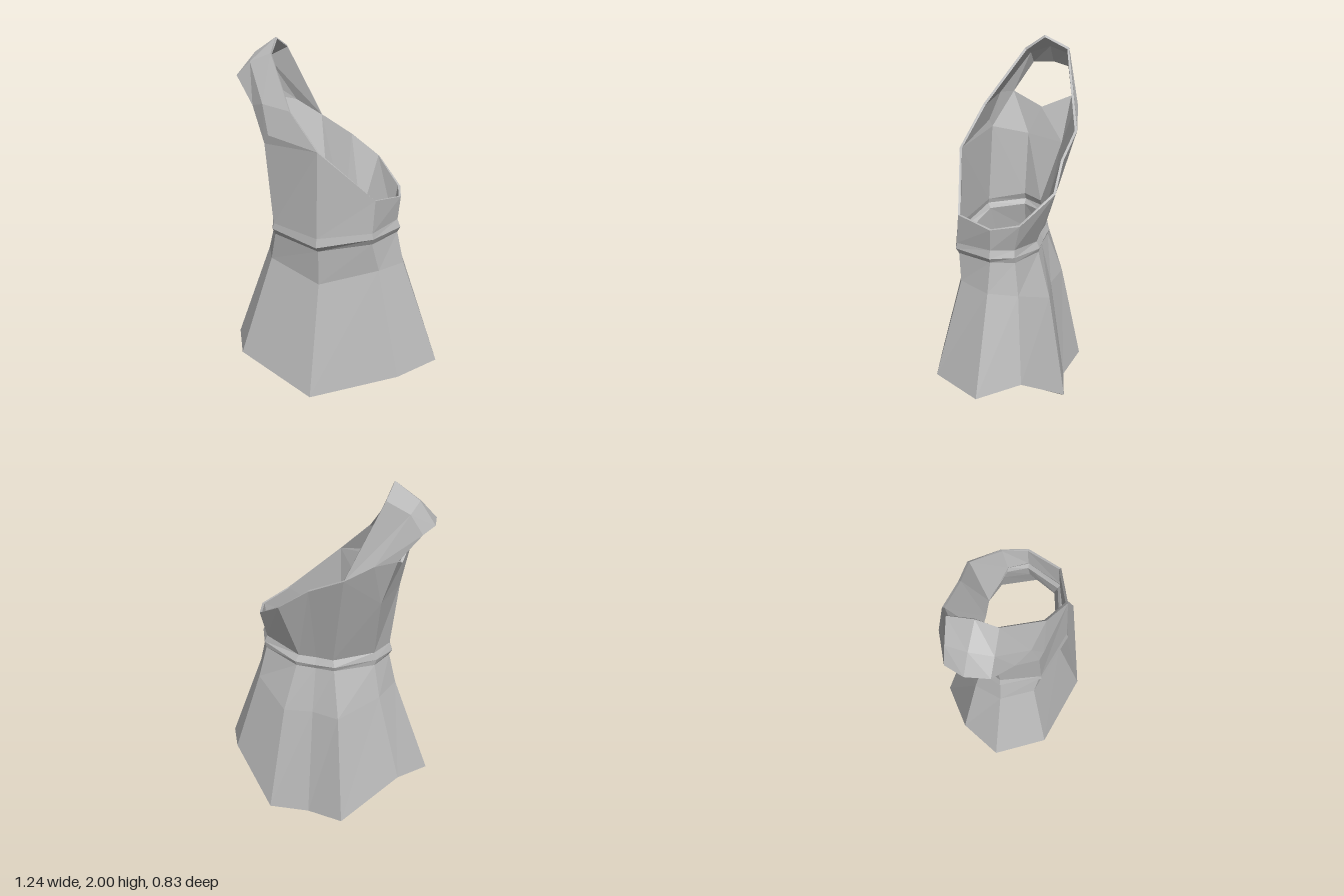
import * as THREE from 'three';

const THICKNESS = 0.014;

export function createModel() {
  const group = new THREE.Group();
  const cloth = new THREE.MeshStandardMaterial({ color: 0xb8b8b8, flatShading: true, side: THREE.DoubleSide });
  cloth.name = 'grey cloth';

  const points = [];
  const add = (x, y, z) => points.push(new THREE.Vector3(x, y, z)) - 1;
  const addAll = (list) => list.map((p) => add(...p));
  // half ring from centre front round the left side to centre back, mirrored to ten points
  const ring = (half) => addAll([...half, ...half.slice(1, 5).reverse().map(([x, y, z]) => [-x, y, z])]);

  // cross-sections, bottom to top
  const hem = ring([[0, 0.07, 0.412], [0.47, 0.215, 0.282], [0.618, 0.213, 0], [0.5, 0.273, -0.228], [0.22, 0.025, -0.417], [0, 0.003, -0.365]]);
  const hip = ring([[0, 0.69, 0.26], [0.32, 0.78, 0.17], [0.41, 0.78, -0.01], [0.36, 0.76, -0.17], [0.16, 0.65, -0.3], [0, 0.65, -0.27]]);
  const waist = ring([[0, 0.885, 0.265], [0.285, 0.935, 0.19], [0.37, 0.955, -0.015], [0.32, 0.945, -0.14], [0.11, 0.91, -0.218], [0, 0.905, -0.21]]);
  const lip = ring([[0, 0.915, 0.3], [0.295, 0.967, 0.205], [0.387, 0.985, -0.015], [0.33, 0.98, -0.14], [0.115, 0.935, -0.225], [0, 0.93, -0.22]]);
  const bodiceLow = ring([[0, 0.965, 0.29], [0.29, 1.0, 0.2], [0.37, 1.03, -0.015], [0.315, 1.02, -0.135], [0.1, 0.97, -0.205], [0, 0.97, -0.2]]);
  const bodiceTop = addAll([
    [0, 1.44, 0.27], [0.3, 1.18, 0.185], [0.385, 1.16, -0.02], [0.34, 1.18, -0.17], [0.17, 1.31, -0.32],
    [0, 1.43, -0.32], [-0.2, 1.53, -0.35], [-0.37, 1.38, -0.24], [-0.415, 1.4, -0.02], [-0.34, 1.45, 0.19],
  ]);

  // shoulder strap rows, front to back, each from armhole edge to neck edge
  const strapRows = [
    [[-0.452, 1.64, 0.09], [-0.365, 1.66, 0.15], [-0.19, 1.635, 0.19]],
    [[-0.585, 1.79, 0.005], [-0.5, 1.87, 0.005], [-0.375, 1.92, 0]],
    [[-0.605, 1.795, -0.12], [-0.52, 1.913, -0.115], [-0.388, 2, -0.11]],
    [[-0.565, 1.78, -0.225], [-0.5, 1.88, -0.232], [-0.38, 1.943, -0.25]],
    [[-0.455, 1.64, -0.27], [-0.35, 1.62, -0.32]],
  ].map(addAll);
  strapRows[4].push(bodiceTop[6]);
  const fold = add(-0.31, 1.5, 0.205);
  const armhole = add(-0.44, 1.56, -0.09);

  const quad = (a, b, c, d) => [[a, b, c], [a, c, d]];
  const band = (lower, upper) => lower.flatMap((a, i) => {
    const j = (i + 1) % lower.length;
    return quad(a, lower[j], upper[j], upper[i]);
  });
  const [frontArm, frontMid, frontNeck] = strapRows[0];
  const [backArm, backMid, backNeck] = strapRows[4];
  const front = bodiceTop[0], backSide = bodiceTop[7], side = bodiceTop[8], frontSide = bodiceTop[9];

  const parts = {
    skirt: [...band(hem, hip), ...band(hip, waist)],
    waistUndercut: band(waist, lip),
    bodice: [...band(lip, bodiceLow), ...band(bodiceLow, bodiceTop)],
    chestAndArmhole: [
      [frontSide, front, fold], [fold, front, frontNeck], [fold, frontNeck, frontMid],
      [frontSide, fold, frontMid], [frontSide, frontMid, frontArm],
      ...quad(side, frontSide, frontArm, armhole),
      ...quad(backSide, side, armhole, backArm),
      [backNeck, backSide, backMid], [backMid, backSide, backArm],
    ],
    shoulderStrap: strapRows.slice(0, -1).flatMap((row, r) => {
      const next = strapRows[r + 1];
      return [0, 1].flatMap((i) => quad(row[i], row[i + 1], next[i + 1], next[i]));
    }),
  };

  // inner lining: every point moved inward along its averaged normal
  const all = Object.values(parts).flat();
  const normals = points.map(() => new THREE.Vector3());
  for (const f of all) {
    const n = new THREE.Triangle(...f.map((i) => points[i])).getNormal(new THREE.Vector3());
    f.forEach((i) => normals[i].add(n));
  }
  const count = points.length;
  const shell = [...points, ...points.map((p, i) => p.clone().addScaledVector(normals[i].normalize(), -THICKNESS))];

  const addMesh = (name, faces) => {
    const geometry = new THREE.BufferGeometry().setFromPoints(faces.flat().map((i) => shell[i]));
    geometry.computeVertexNormals();
    const mesh = new THREE.Mesh(geometry, cloth);
    mesh.name = name;
    group.add(mesh);
  };
  for (const [name, faces] of Object.entries(parts)) {
    addMesh(name, [...faces, ...faces.map(([a, b, c]) => [a + count, c + count, b + count])]);
  }

  // thin rims closing the hem, neckline and armhole
  const edges = all.flatMap(([a, b, c]) => [[a, b], [b, c], [c, a]]);
  const used = new Set(edges.map(([a, b]) => `${a},${b}`));
  const open = edges.filter(([a, b]) => !used.has(`${b},${a}`));
  addMesh('clothEdges', open.flatMap(([a, b]) => quad(b, a, a + count, b + count)));

  return group;
}
